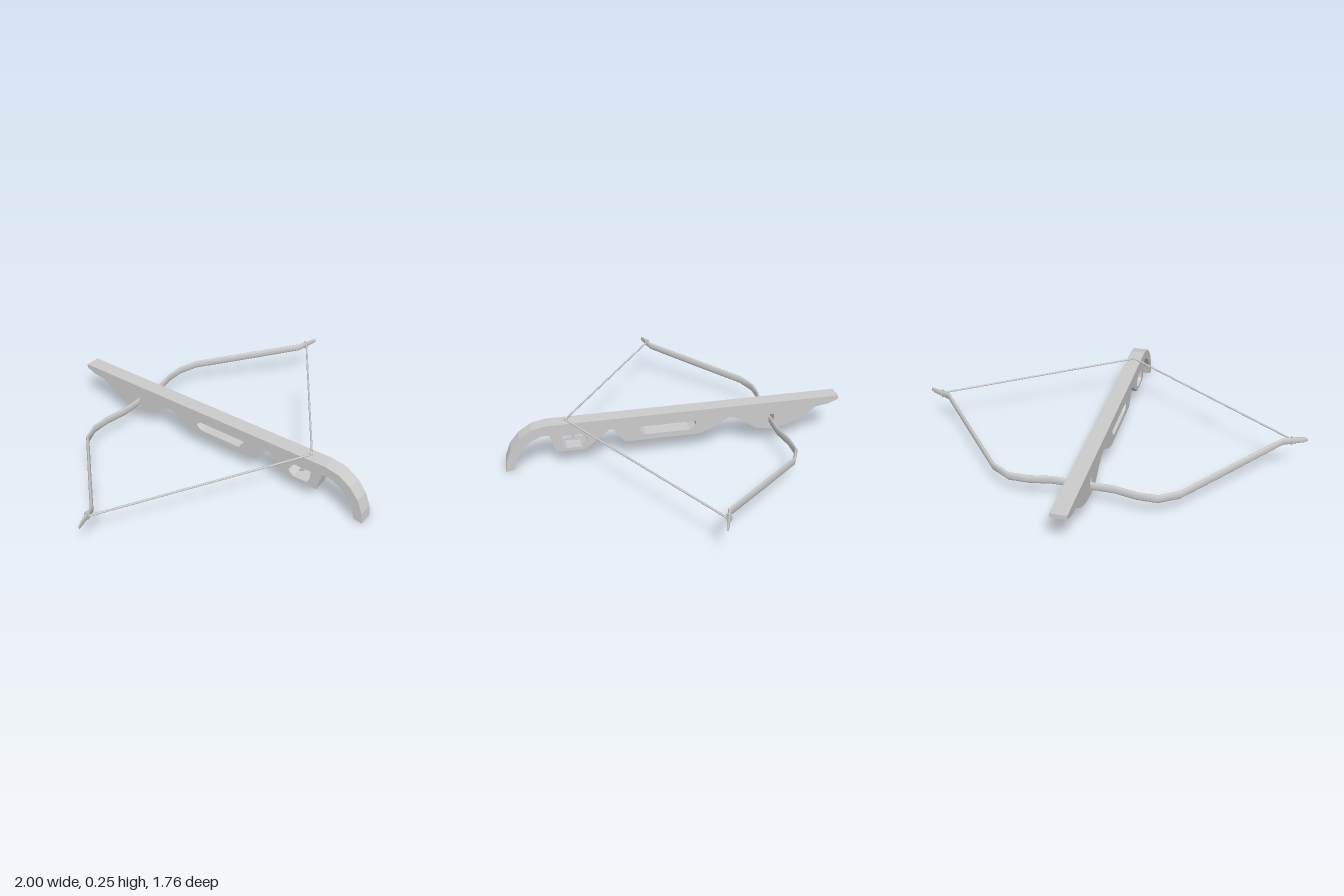
import * as THREE from 'three';

const grey = () => new THREE.MeshStandardMaterial({ color: 0xcccccc, side: THREE.DoubleSide });
const points = (list) => list.map(([z, y]) => new THREE.Vector2(z, y));

function add(group, name, geometry) {
  const mesh = new THREE.Mesh(geometry, grey());
  mesh.name = name;
  group.add(mesh);
  return mesh;
}

// Side profile given as (z, y), extruded across x and centred
function sideExtrude(outline, holes, width) {
  const shape = new THREE.Shape(points(outline));
  holes.forEach((h) => shape.holes.push(new THREE.Path(points(h))));
  const geometry = new THREE.ExtrudeGeometry(shape, { depth: width, bevelEnabled: false });
  return geometry.translate(0, 0, -width / 2).rotateY(-Math.PI / 2);
}

// Elliptical sections [x, y, z, half height, half thickness] joined into a limb
function loftBow(sections, sides) {
  const position = [], index = [];
  sections.forEach(([x, y, z, h, t], i) => {
    const a = sections[Math.max(i - 1, 0)], b = sections[Math.min(i + 1, sections.length - 1)];
    const dir = new THREE.Vector2(b[0] - a[0], b[2] - a[2]).normalize();
    for (let k = 0; k < sides; k++) {
      const angle = (k / sides) * Math.PI * 2;
      const out = Math.cos(angle) * t;
      position.push(x - dir.y * out, y + Math.sin(angle) * h, z + dir.x * out);
      if (i === 0) continue;
      const n = (k + 1) % sides, p = (i - 1) * sides, q = i * sides;
      index.push(p + k, q + k, p + n, p + n, q + k, q + n);
    }
  });
  // End caps
  const last = (sections.length - 1) * sides;
  for (let k = 1; k < sides - 1; k++) {
    index.push(0, k, k + 1, last, last + k + 1, last + k);
  }
  const geometry = new THREE.BufferGeometry();
  geometry.setAttribute('position', new THREE.Float32BufferAttribute(position, 3));
  geometry.setIndex(index);
  geometry.computeVertexNormals();
  return geometry;
}

export function createModel() {
  const model = new THREE.Group();
  model.name = 'crossbow';

  // Stock with curved butt, trigger guard, grip and fore-end
  const outline = [
    [-0.88, 0.245], [0.66, 0.245], [0.735, 0.23], [0.80, 0.187], [0.847, 0.13], [0.875, 0.06],
    [0.882, 0.005], [0.837, 0.015], [0.823, 0.073], [0.785, 0.127], [0.743, 0.167], [0.69, 0.19],
    [0.65, 0.19], [0.625, 0.09], [0.474, 0.09], [0.35, 0.187], [0.33, 0.187], [0.27, 0.106],
    [-0.115, 0.106], [-0.19, 0.13], [-0.235, 0.16], [-0.28, 0.185], [-0.33, 0.17], [-0.385, 0.134],
    [-0.43, 0.102], [-0.51, 0.087], [-0.606, 0.102], [-0.69, 0.14], [-0.757, 0.193],
    [-0.828, 0.203], [-0.88, 0.224],
  ];
  const gripSlot = [[0.196, 0.184], [0.196, 0.158], [0.165, 0.136], [-0.07, 0.136], [-0.102, 0.158], [-0.102, 0.184]];
  const guardHole = [
    [0.587, 0.18], [0.587, 0.12], [0.57, 0.107], [0.493, 0.107], [0.464, 0.134], [0.464, 0.157], [0.493, 0.18],
  ];
  const bowSlot = [[-0.498, 0.175], [-0.498, 0.112], [-0.526, 0.112], [-0.526, 0.175]];
  add(model, 'stock', sideExtrude(outline, [gripSlot, guardHole, bowSlot], 0.08));

  // Curved trigger inside the guard
  const trigger = [
    [0.545, 0.185], [0.545, 0.158], [0.534, 0.137], [0.508, 0.127],
    [0.508, 0.136], [0.524, 0.145], [0.53, 0.162], [0.53, 0.185],
  ];
  add(model, 'trigger', sideExtrude(trigger, [], 0.02));

  // Recurved bow, one half mirrored to the other
  const half = [
    [0.15, 0.133, -0.512, 0.022, 0.008], [0.26, 0.133, -0.533, 0.022, 0.008],
    [0.36, 0.133, -0.533, 0.022, 0.008], [0.455, 0.143, -0.488, 0.022, 0.008],
    [0.67, 0.179, -0.262, 0.022, 0.008], [0.88, 0.215, -0.04, 0.02, 0.008],
    [0.93, 0.219, -0.024, 0.018, 0.007], [0.98, 0.22, -0.007, 0.015, 0.004],
    [0.998, 0.22, 0, 0.009, 0.002],
  ];
  const mirrored = half.map(([x, ...rest]) => [-x, ...rest]).reverse();
  add(model, 'bow', loftBow([...mirrored, ...half], 14));

  // Drawn string with a loop round each bow tip
  const nock = new THREE.Vector3(0, 0.25, 0.565);
  for (const side of [1, -1]) {
    const label = side > 0 ? 'left' : 'right';
    const tip = new THREE.Vector3(side * 0.922, 0.22, -0.018);
    add(model, label + 'String', new THREE.TubeGeometry(new THREE.LineCurve3(tip, nock), 1, 0.005, 8));
    const loop = add(model, label + 'StringLoop', new THREE.TorusGeometry(0.02, 0.004, 6, 16));
    loop.scale.x = 0.6;
    loop.position.set(side * 0.922, 0.219, -0.026);
    loop.rotation.y = side * (Math.PI / 2 - 0.35);
  }

  // Catch that holds the string
  const catchPin = add(model, 'stringCatch', new THREE.CylinderGeometry(0.009, 0.012, 0.022, 8));
  catchPin.position.set(0, 0.247, 0.56);

  return model;
}
